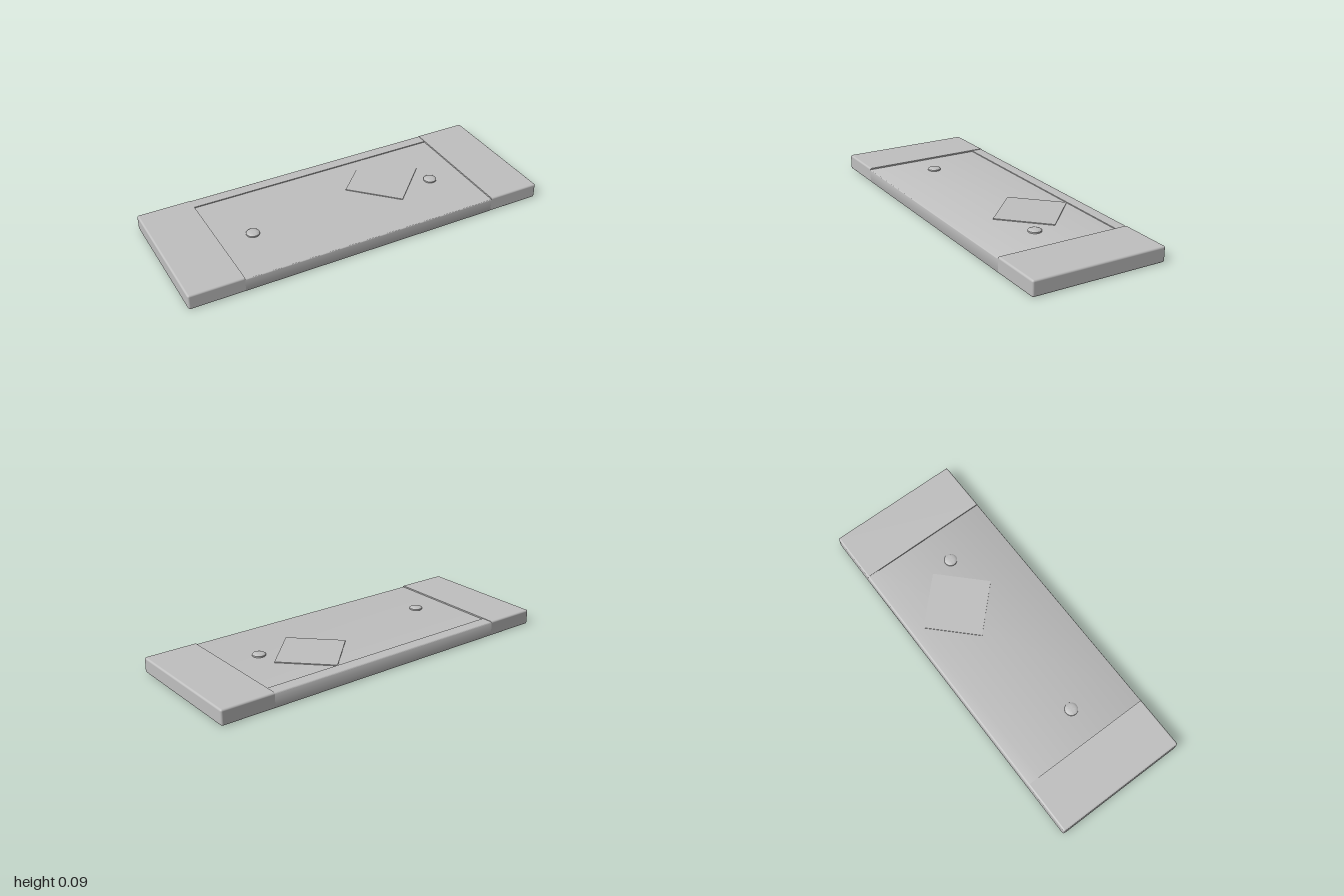
import * as THREE from 'three';
import { RoundedBoxGeometry } from 'three/addons/geometries/RoundedBoxGeometry.js';
import { toCreasedNormals } from 'three/addons/utils/BufferGeometryUtils.js';

const TOP = 0.083, FLOOR = 0.075, RAIL = 0.08; // pad, recess and rail heights
const HALF_Z = 0.368, INNER = 0.71, RAIL_Z = -0.3, R = 0.01;

export function createModel() {
  const model = new THREE.Group();
  const grey = new THREE.MeshStandardMaterial({ color: 0xbfbfbf });
  grey.name = 'plain grey';

  const add = (name, geometry, x = 0, y = 0, z = 0) => {
    const mesh = new THREE.Mesh(geometry, grey);
    mesh.name = name;
    mesh.position.set(x, y, z);
    model.add(mesh);
    return mesh;
  };

  // Raised end pads: rounded boxes cut flat on the inner side
  const endPad = (side) => {
    const width = 1 - INNER + R;
    const g = new RoundedBoxGeometry(width, TOP, HALF_Z * 2, 3, R);
    g.translate(side * (1 - width / 2), TOP / 2, 0);
    const p = g.attributes.position, n = g.attributes.normal;
    for (let i = 0; i < p.count; i++) {
      if (p.getX(i) * side < INNER - 1e-5) {
        p.setX(i, side * INNER);
        n.setXYZ(i, -side, 0, 0);
      }
    }
    return g;
  };
  add('leftEndPad', endPad(1));
  add('rightEndPad', endPad(-1));

  // Middle bed: stepped section with the rail at the back, run along x
  const s = new THREE.Shape();
  s.moveTo(-HALF_Z + R, 0);
  s.lineTo(HALF_Z - R, 0);
  s.quadraticCurveTo(HALF_Z, 0, HALF_Z, R);
  s.lineTo(HALF_Z, FLOOR - 0.006);
  s.quadraticCurveTo(HALF_Z, FLOOR, HALF_Z - 0.006, FLOOR);
  s.lineTo(RAIL_Z, FLOOR);
  s.lineTo(RAIL_Z, RAIL);
  s.lineTo(-HALF_Z + R, RAIL);
  s.quadraticCurveTo(-HALF_Z, RAIL, -HALF_Z, RAIL - R);
  s.lineTo(-HALF_Z, R);
  s.quadraticCurveTo(-HALF_Z, 0, -HALF_Z + R, 0);
  const bed = new THREE.ExtrudeGeometry(s, { depth: INNER * 2, bevelEnabled: false, curveSegments: 4 });
  bed.translate(0, 0, -INNER);
  bed.rotateY(-Math.PI / 2); // section x becomes z
  add('recessedBed', toCreasedNormals(bed, 0.7));

  // Thin square plate turned to a diamond
  const side = 0.223 * Math.SQRT2;
  add('diamondPlate', new THREE.BoxGeometry(side, 0.005, side), 0.293, FLOOR + 0.0022, -0.075)
    .rotation.y = Math.PI / 4;

  // Two domed studs
  const profile = [[0.035, FLOOR], [0.035, 0.082], [0.031, 0.0855], [0.022, 0.0885], [0.011, 0.09], [0, 0.0905]]
    .map(([x, y]) => new THREE.Vector2(x, y));
  const stud = toCreasedNormals(new THREE.LatheGeometry(profile, 32), 0.8);
  add('rightStud', stud, -0.53, 0, 0.05);
  add('leftStud', stud, 0.525, 0, 0.05);

  return model;
}
